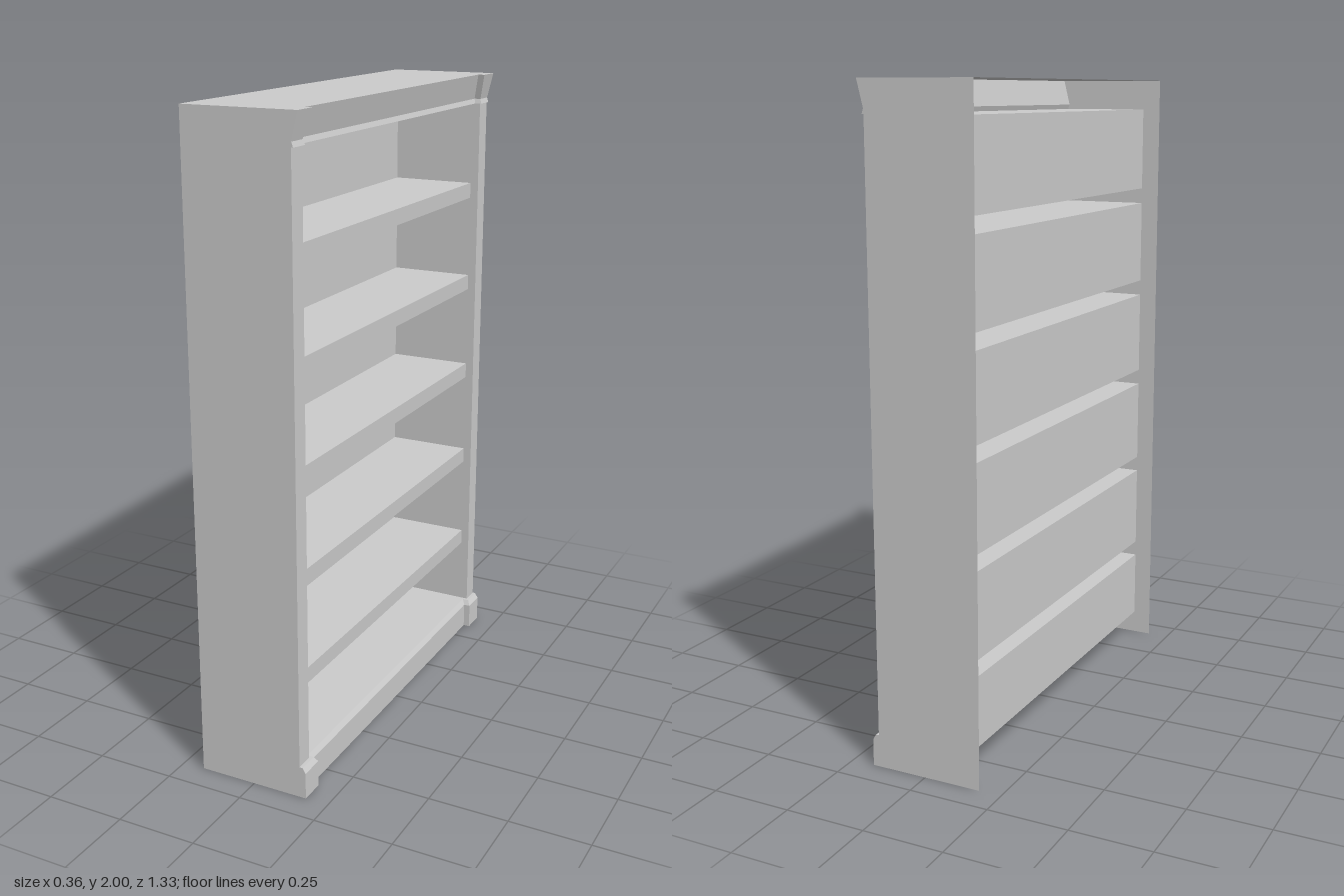
import * as THREE from 'three';

const material = new THREE.MeshStandardMaterial({ color: 0xcccccc, flatShading: true, side: THREE.DoubleSide });

// Main planes of the case
const BACK = -0.18, BACK_PANEL = -0.144, POST = 0.157, RAIL = 0.136, SHELF = 0.13;
const OUTER = 0.665, INNER = 0.607, FLOOR = 0.1, CEILING = 1.905, TOP = 2;
const SHELF_COUNT = 5, SHELF_THICKNESS = 0.05;

// Moulding profiles: [outward offset, height], listed upwards
const BASE = [[0.02, 0], [0.02, 0.083], [0.01, 0.1], [0, FLOOR]];
const CROWN = [[0, CEILING], [0.006, CEILING], [0.001, 1.92], [0.021, TOP]];

export function createModel() {
  const group = new THREE.Group();
  const add = (name, geometry, parent = group) => {
    const mesh = new THREE.Mesh(geometry, material);
    mesh.name = name;
    parent.add(mesh);
    return mesh;
  };

  // Thin sheets perpendicular to each axis
  const sheetX = (x, y0, y1, halfZ, midZ = 0) =>
    new THREE.PlaneGeometry(halfZ * 2, y1 - y0).rotateY(Math.PI / 2).translate(x, (y0 + y1) / 2, midZ);
  const sheetY = (y, x0, x1, facing = 1) =>
    new THREE.PlaneGeometry(x1 - x0, INNER * 2).rotateX(-facing * Math.PI / 2).translate((x0 + x1) / 2, y, 0);
  const sheetZ = (z, x0, x1, y0, y1, facing) =>
    new THREE.PlaneGeometry(x1 - x0, y1 - y0).rotateY(facing > 0 ? 0 : Math.PI)
      .translate((x0 + x1) / 2, (y0 + y1) / 2, z);

  // Front outline in plan, stepping around both corner blocks
  const plan = (d) => {
    const half = [[POST + d, OUTER], [POST + d, INNER - d], [RAIL + d, INNER - d]];
    return [...half, ...half.map(([x, z]) => [x, -z]).reverse()];
  };

  // Mitred moulding: the plan outline lofted through a profile
  const moulding = (profile) => {
    const rows = profile.map(([d, y]) => plan(d).map(([x, z]) => [x, y, z]));
    const positions = [];
    for (let r = 0; r < rows.length - 1; r++) {
      for (let i = 0; i < rows[r].length - 1; i++) {
        const a = rows[r][i], b = rows[r][i + 1], c = rows[r + 1][i + 1], d = rows[r + 1][i];
        positions.push(...a, ...b, ...c, ...a, ...c, ...d);
      }
    }
    const geometry = new THREE.BufferGeometry();
    geometry.setAttribute('position', new THREE.Float32BufferAttribute(positions, 3));
    geometry.computeVertexNormals();
    return geometry;
  };
  add('baseMoulding', moulding(BASE));
  add('crownMoulding', moulding(CROWN));

  const outline = (points) =>
    new THREE.ShapeGeometry(new THREE.Shape(points.map(([x, y]) => new THREE.Vector2(x, y))));

  // Top board, notched between the corner blocks
  const crownEdge = plan(CROWN[CROWN.length - 1][0]);
  add('topBoard', outline([[BACK, OUTER], ...crownEdge, [BACK, -OUTER]]).rotateX(-Math.PI / 2).translate(0, TOP, 0));

  // Hollow side walls: profiled outer face, front post and inner lining
  const sideProfile = [[BACK, 0], ...[...BASE, ...CROWN].map(([d, y]) => [POST + d, y]), [BACK, TOP]];
  for (const s of [1, -1]) {
    const side = new THREE.Group();
    side.name = s > 0 ? 'sideWallA' : 'sideWallB';
    group.add(side);
    add('outerSide', outline(sideProfile).translate(0, 0, s * OUTER), side);
    add('frontPost', sheetX(POST, FLOOR, CEILING, (OUTER - INNER) / 2, s * (OUTER + INNER) / 2), side);
    add('innerSide', sheetZ(s * INNER, BACK_PANEL, POST, FLOOR, CEILING, -s), side);
  }

  // Floor and ceiling of the interior
  add('floor', sheetY(FLOOR, BACK_PANEL, RAIL));
  add('ceiling', sheetY(CEILING, BACK_PANEL, RAIL, -1));

  // Shelves, open at the rear, with a back panel below each one
  let bayBottom = FLOOR;
  for (let i = 0; i < SHELF_COUNT; i++) {
    const y = 0.32 + i * 0.3175, yTop = y + SHELF_THICKNESS;
    const shelf = new THREE.Group();
    shelf.name = `shelf${i + 1}`;
    group.add(shelf);
    add('shelfTop', sheetY(yTop, BACK_PANEL, SHELF), shelf);
    add('shelfUnderside', sheetY(y, BACK_PANEL, SHELF, -1), shelf);
    add('shelfFront', sheetX(SHELF, y, yTop, INNER), shelf);
    add(`backPanel${i + 1}`, sheetX(BACK_PANEL, bayBottom, y, INNER));
    bayBottom = yTop;
  }
  add(`backPanel${SHELF_COUNT + 1}`, sheetX(BACK_PANEL, bayBottom, CEILING, INNER));

  return group;
}
